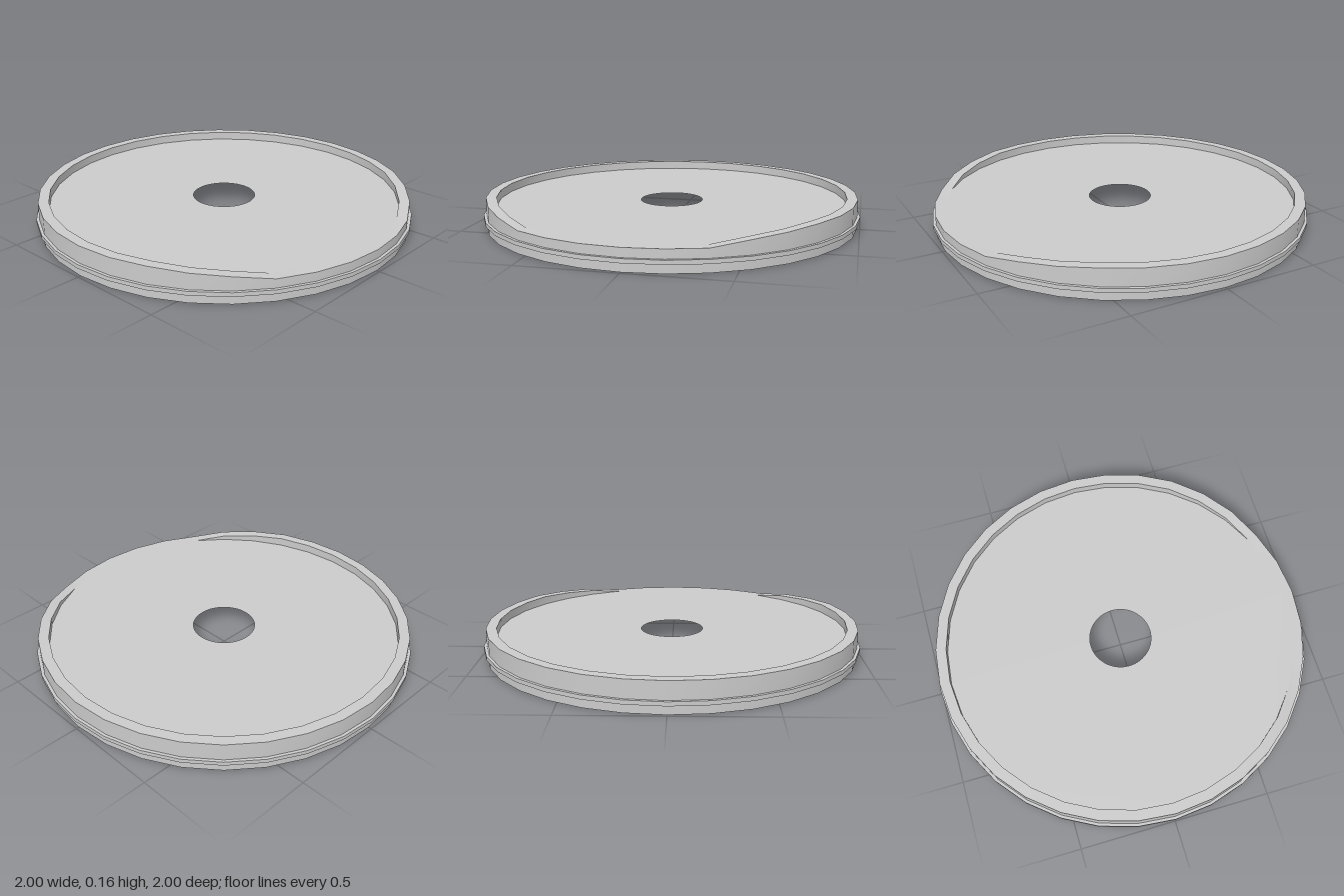
import * as THREE from 'three';

const SEGMENTS = 32;
const WALL = 0.985, INNER = 0.93, FLANGE = 1.0, HOLE = 0.165;
const FLOOR = 0.112, TOP = 0.157;
const material = new THREE.MeshStandardMaterial({ color: 0xcccccc, side: THREE.DoubleSide });

// Rim height at segment i (0 = front, counting towards +x); it dips to the floor at the front.
function rimHeight(i) {
  const k = i > SEGMENTS / 2 ? i - SEGMENTS : i;
  const step = k >= 0 ? k - 2 : -k - 3;
  return [FLOOR, 0.136, 0.148, TOP][THREE.MathUtils.clamp(step, 0, 3)];
}

// Closed strip between two rings; each ring has a radius and a height (number or function of segment).
function band(name, r0, y0, r1, y1) {
  const positions = [], index = [];
  const at = (y, i) => (typeof y === 'function' ? y(i) : y);
  for (let i = 0; i < SEGMENTS; i++) {
    const a = (i / SEGMENTS) * Math.PI * 2, s = Math.sin(a), c = Math.cos(a);
    positions.push(r0 * s, at(y0, i), r0 * c, r1 * s, at(y1, i), r1 * c);
    const p = 2 * i, q = 2 * ((i + 1) % SEGMENTS);
    index.push(p, q, q + 1, p, q + 1, p + 1);
  }
  const geometry = new THREE.BufferGeometry();
  geometry.setAttribute('position', new THREE.Float32BufferAttribute(positions, 3));
  geometry.setIndex(index);
  geometry.computeVertexNormals();
  const mesh = new THREE.Mesh(geometry, material);
  mesh.name = name;
  return mesh;
}

// Flat floor with a round centre hole
function floorPlate() {
  const outline = [];
  for (let i = 0; i < SEGMENTS; i++) {
    const a = (i / SEGMENTS) * Math.PI * 2;
    outline.push(new THREE.Vector2(INNER * Math.cos(a), INNER * Math.sin(a)));
  }
  const shape = new THREE.Shape(outline);
  shape.holes.push(new THREE.Path().absarc(0, 0, HOLE, 0, Math.PI * 2, true));
  const geometry = new THREE.ShapeGeometry(shape, 32);
  geometry.rotateX(-Math.PI / 2).translate(0, FLOOR, 0);
  const mesh = new THREE.Mesh(geometry, material);
  mesh.name = 'floorPlate';
  return mesh;
}

export function createModel() {
  const model = new THREE.Group();
  model.name = 'dishedLid';

  // Outer skirt, open underneath, with a thin flange around it
  model.add(
    band('lowerWall', WALL, 0, WALL, 0.045),
    band('flangeUnderside', WALL, 0.045, FLANGE, 0.045),
    band('flangeEdge', FLANGE, 0.045, FLANGE, 0.066),
    band('flangeTop', FLANGE, 0.066, WALL, 0.066),
    band('upperWall', WALL, 0.066, WALL, rimHeight)
  );

  // Raised rim stepping down to the floor
  model.add(
    band('rimTop', WALL, rimHeight, INNER, rimHeight),
    band('rimInnerWall', INNER, rimHeight, INNER, FLOOR),
    floorPlate()
  );
  return model;
}
